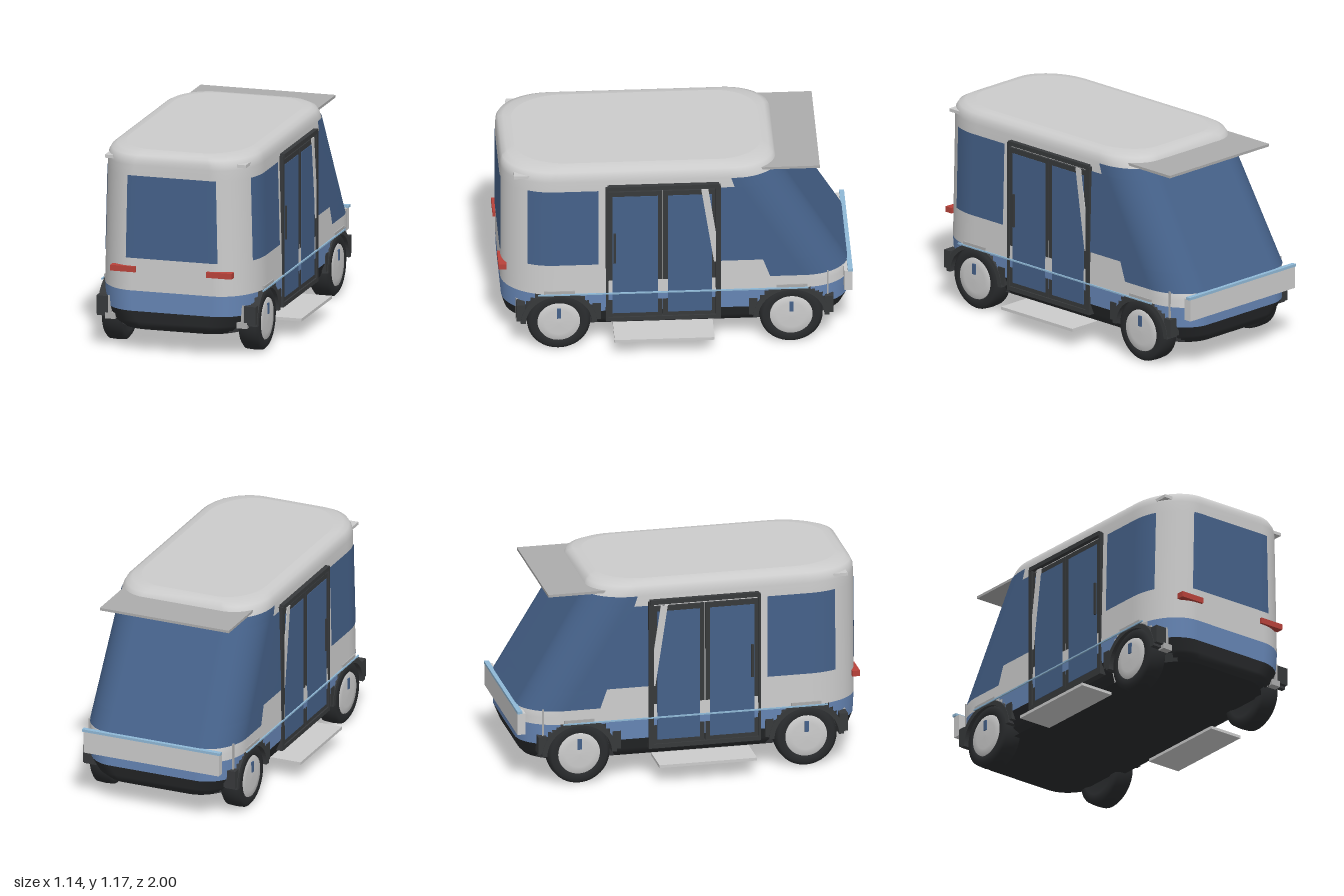
import * as THREE from 'three';

const mat = (color) => new THREE.MeshStandardMaterial({ color, side: THREE.DoubleSide });
const M = {
  shell: mat(0xd6d7d8), blue: mat(0x6787b7), glass: mat(0x456189), dark: mat(0x37393b),
  black: mat(0x2a2c2e), grey: mat(0xcccccc), awning: mat(0xacacac), red: mat(0xb8423a), pale: mat(0x8fb8d6),
};
const WHEELS = [0.665, -0.65], HUB_Y = 0.185;

// Body profile: height, half width, rear z, nose z
const PROFILE = [
  [0.135, 0.4, 0.93, -0.92], [0.17, 0.43, 0.96, -0.95], [0.25, 0.465, 0.98, -0.98],
  [0.37, 0.47, 0.985, -0.985], [0.45, 0.468, 0.985, -0.975], [1.1, 0.452, 0.985, -0.585],
  [1.13, 0.447, 0.983, -0.572], [1.155, 0.435, 0.972, -0.56], [1.17, 0.41, 0.945, -0.535], [1.177, 0.37, 0.9, -0.49],
];
const REAR = { rx: 0.23, rz: 0.3 }, NOSE = { rx: 0.2, rz: 0.25 };

function sizeAt(y) {
  let i = 0;
  while (i < PROFILE.length - 2 && y > PROFILE[i + 1][0]) i++;
  const a = PROFILE[i], b = PROFILE[i + 1], t = (y - a[0]) / (b[0] - a[0]);
  const [w, rear, nose] = [1, 2, 3].map((k) => a[k] + (b[k] - a[k]) * t);
  return { w, rear, nose };
}

const line = (a, b, n) => Array.from({ length: n }, (_, i) => [a[0] + (b[0] - a[0]) * i / n, a[1] + (b[1] - a[1]) * i / n]);
const corner = (cx, cz, r, from) => Array.from({ length: 17 }, (_, i) => {
  const t = from + (i / 16) * Math.PI / 2;
  return [cx + r.rx * Math.cos(t), cz + r.rz * Math.sin(t)];
});

// Closed outline of the body at one height
function outline(y) {
  const { w, rear, nose } = sizeAt(y), zr = rear - REAR.rz, zn = nose + NOSE.rz;
  return [
    ...corner(w - REAR.rx, zr, REAR, 0), ...corner(REAR.rx - w, zr, REAR, Math.PI / 2),
    ...line([-w, zr], [-w, zn], 60).slice(1),
    ...corner(NOSE.rx - w, zn, NOSE, Math.PI), ...corner(w - NOSE.rx, zn, NOSE, Math.PI * 1.5),
    ...line([w, zn], [w, zr], 60).slice(1),
  ];
}

// Skin a stack of outlines; skip() drops faces to leave openings
function loft(heights, section, closed, skip) {
  const pos = [], index = [];
  let n = 0;
  heights.forEach((y) => {
    const pts = section(y);
    n = pts.length;
    pts.forEach(([x, z]) => pos.push(x, y, z));
  });
  for (let j = 0; j < heights.length - 1; j++) {
    for (let i = 0; i < (closed ? n : n - 1); i++) {
      const a = j * n + i, b = j * n + (i + 1) % n, c = a + n, d = b + n;
      const mid = (k) => (pos[a * 3 + k] + pos[d * 3 + k]) / 2;
      if (skip && skip(mid(0), mid(1), mid(2))) continue;
      index.push(a, c, b, b, c, d);
    }
  }
  const g = new THREE.BufferGeometry();
  g.setAttribute('position', new THREE.Float32BufferAttribute(pos, 3));
  g.setIndex(index);
  g.computeVertexNormals();
  return g;
}

const steps = (a, b, n) => Array.from({ length: n + 1 }, (_, i) => a + (b - a) * i / n);
const inWheelWell = (x, y, z) => Math.abs(x) > 0.28 &&
  WHEELS.some((c) => Math.hypot(z - c, Math.max(0, y - HUB_Y)) < 0.215);

function cap(y) {
  const g = new THREE.ShapeGeometry(new THREE.Shape(outline(y).map(([x, z]) => new THREE.Vector2(x, -z))));
  return g.rotateX(-Math.PI / 2).translate(0, y, 0);
}

export function createModel() {
  const root = new THREE.Group();
  const add = (name, geo, material, parent = root) => {
    const m = new THREE.Mesh(geo, material);
    m.name = name;
    parent.add(m);
    return m;
  };
  // Box given by its limits on each axis
  const box = (name, x, y, z, material, parent) => add(name,
    new THREE.BoxGeometry(x[1] - x[0], y[1] - y[0], z[1] - z[0])
      .translate((x[0] + x[1]) / 2, (y[0] + y[1]) / 2, (z[0] + z[1]) / 2), material, parent);

  // Body bands, floor and roof
  add('baseSkirt', loft([0.135, 0.152, ...steps(0.17, 0.25, 5)], outline, true, inWheelWell), M.black);
  add('floor', cap(0.135), M.black);
  add('lowerBand', loft(steps(0.25, 0.37, 8), outline, true, inWheelWell), M.blue);
  add('upperBody', loft([0.37, 0.41, ...steps(0.45, 1.1, 10), ...PROFILE.slice(6).map((p) => p[0])], outline, true), M.shell);
  add('roof', cap(1.177), M.shell);

  // Wraparound windscreen, with a stepped trailing edge on each side
  const OFF = 0.003;
  const screen = (y0, y1, z0, z1, n) => add('windscreen', loft(steps(y0, y1, n), (y) => {
    const s = sizeAt(y), w = s.w + OFF, zn = s.nose - OFF + NOSE.rz;
    const zEdge = z0 + (z1 - z0) * (y - y0) / (y1 - y0);
    return [[-w, zEdge], ...corner(NOSE.rx - w, zn, NOSE, Math.PI),
      ...corner(w - NOSE.rx, zn, NOSE, Math.PI * 1.5), [w, zEdge]];
  }, false), M.glass);
  screen(0.45, 0.56, -0.53, -0.49, 3);
  screen(0.56, 1.04, -0.25, -0.25, 8);
  screen(1.04, 1.1, -0.33, -0.31, 2);

  // Rear window
  add('rearWindow', loft(steps(0.56, 1.04, 6), (y) => {
    const { w, rear } = sizeAt(y), half = 0.272 - 0.01 * (y - 0.56) / 0.48;
    return steps(half, -half, 24).map((x) => {
      const t = Math.max(0, Math.abs(x) - (w - REAR.rx)) / REAR.rx;
      return [x, rear + OFF - REAR.rz + REAR.rz * Math.sqrt(1 - t * t)];
    });
  }, false), M.glass);

  for (const side of [1, -1]) {
    const prefix = side > 0 ? 'left' : 'right';
    const half = new THREE.Group();
    half.name = prefix + 'Side';
    root.add(half);
    const sx = (a, b) => (side > 0 ? [a, b] : [-b, -a]);
    const sbox = (name, x0, x1, y, z, m) => box(name, sx(x0, x1), y, z, m, half);

    // Curved side window
    add('sideWindow', loft(steps(0.56, 1.04, 6), (y) => {
      const { w, rear } = sizeAt(y);
      const pts = steps(0.44, 0.84, 16).map((z) => {
        const t = Math.max(0, z - (rear - REAR.rz)) / REAR.rz;
        return [side * (w + OFF - REAR.rx + REAR.rx * Math.sqrt(1 - t * t)), z];
      });
      return side > 0 ? pts : pts.reverse();
    }, false), M.glass, half);

    // Double door with frame, glass leaves and handle
    sbox('doorFrameRear', 0.43, 0.477, [0.185, 1.065], [0.385, 0.4], M.dark);
    sbox('doorFrameFront', 0.43, 0.477, [0.185, 1.065], [-0.25, -0.222], M.dark);
    sbox('doorLintel', 0.43, 0.48, [1.05, 1.075], [-0.24, 0.39], M.dark);
    sbox('doorSill', 0.43, 0.477, [0.185, 0.21], [-0.24, 0.39], M.dark);
    for (const [z0, z1] of [[0.08, 0.39], [-0.225, 0.075]]) {
      sbox('doorLeaf', 0.43, 0.468, [0.21, 1.035], [z0, z1], M.dark);
      sbox('doorGlass', 0.44, 0.471, [0.235, 1.005], [z0 + 0.025, z1 - 0.028], M.glass);
    }
    sbox('doorHandle', 0.465, 0.481, [0.57, 0.765], [0.343, 0.357], M.dark);
    const sliver = new THREE.Shape([[0.14, 1.04], [0.18, 1.04], [0.222, 0.76], [0.222, 0.56], [0.212, 0.56]]
      .map(([z, y]) => new THREE.Vector2(z, y)));
    add('doorPillarTrim', new THREE.ExtrudeGeometry(sliver, { depth: 0.006, bevelEnabled: false })
      .rotateY(Math.PI / 2).translate(side * 0.472 - 0.003, 0, 0), M.shell, half);

    // Boarding step, side rail and roof tab
    sbox('boardingStep', 0.36, 0.57, [0.1, 0.117], [-0.21, 0.355], M.grey);
    sbox('sideRail', 0.474, 0.482, [0.367, 0.375], [-0.745, 0.785], M.pale);
    sbox('roofTab', 0.365, 0.418, [1.112, 1.13], [0.82, 0.915], M.grey);

    // Tail light, rear bracket and nose post
    sbox('tailLight', 0.21, 0.36, [0.48, 0.513], [0.955, 1.0], M.red);
    sbox('rearBracket', 0.36, 0.42, [0.175, 0.21], [0.86, 0.905], M.awning);
    sbox('rearBracketPost', 0.385, 0.402, [0.21, 0.31], [0.885, 0.905], M.awning);
    sbox('nosePost', 0.44, 0.45, [0.22, 0.46], [-0.862, -0.852], M.awning);

    for (const zc of WHEELS) {
      // Tyre, hubcap and hub marker
      const wheel = new THREE.Group();
      wheel.name = prefix + (zc > 0 ? 'RearWheel' : 'FrontWheel');
      wheel.position.set(side * 0.405, HUB_Y, zc);
      half.add(wheel);
      const tyre = [[0, -0.05], [0.1, -0.05], [0.125, -0.062], [0.16, -0.06], [0.178, -0.045],
        [0.181, 0], [0.178, 0.045], [0.16, 0.06], [0.125, 0.062], [0.12, 0.05]].map((p) => new THREE.Vector2(...p));
      add('tyre', new THREE.LatheGeometry(tyre, 48).rotateZ(-side * Math.PI / 2), M.black, wheel);
      const disc = [[0.122, 0.05], [0.118, 0.061], [0.08, 0.064], [0, 0.066]].map((p) => new THREE.Vector2(...p));
      add('hubcap', new THREE.LatheGeometry(disc, 48).rotateZ(-side * Math.PI / 2), M.grey, wheel);
      box('hubMarker', sx(0.06, 0.071), [0.028, 0.09], [-0.012, 0.012], M.glass, wheel);

      // Wheel arch with flared feet and a cover strip
      const arch = new THREE.Shape();
      arch.absarc(0, 0, 0.216, 0, Math.PI, false);
      arch.absarc(0, 0, 0.187, Math.PI, 0, true);
      const cut = new THREE.ExtrudeGeometry(arch, { depth: 0.075, bevelEnabled: false, curveSegments: 24 });
      add('wheelArch', cut.scale(1, 0.92, 1).rotateY(Math.PI / 2).translate(side * 0.4375 - 0.0375, HUB_Y, zc), M.dark, half);
      for (const d of [-1, 1]) {
        const z = zc + d * 0.215;
        sbox('archFoot', 0.4, 0.472, [0.2, 0.305], [z - 0.024, z + 0.024], M.dark);
      }
      sbox('archCover', 0.42, 0.476, [0.375, 0.392], [zc - 0.09, zc + 0.085], M.awning);
    }
  }

  // Awning over the windscreen and nose bumper
  box('awning', [-0.4, 0.4], [1.115, 1.13], [-0.815, -0.48], M.awning);
  box('bumper', [-0.42, 0.42], [0.31, 0.437], [-0.998, -0.952], M.grey);
  box('bumperStrip', [-0.428, 0.428], [0.437, 0.452], [-1.0, -0.972], M.pale);
  return root;
}
